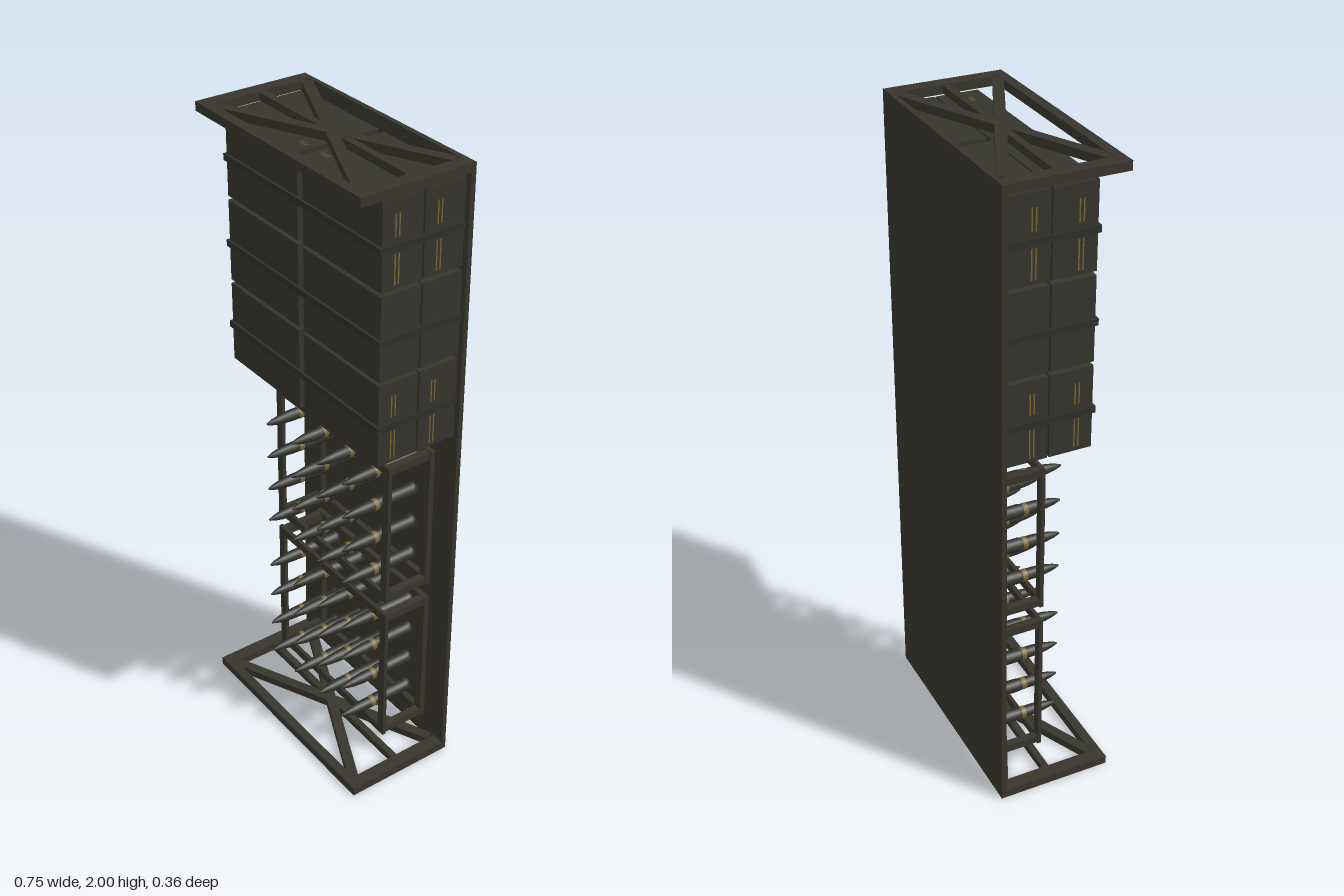
import * as THREE from 'three';

const steel = new THREE.MeshStandardMaterial({ color: 0x37352c });
steel.name = 'drab steel';
const crateMat = new THREE.MeshStandardMaterial({ color: 0x35342c });
crateMat.name = 'crate drab';
const dark = new THREE.MeshStandardMaterial({ color: 0x2f302b });
dark.name = 'dark shell metal';
const gold = new THREE.MeshStandardMaterial({ color: 0x766632 });
gold.name = 'dull gold';

// Box given by its minimum and maximum corners
function box(parent, name, mat, x0, x1, y0, y1, z0, z1) {
  const m = new THREE.Mesh(new THREE.BoxGeometry(x1 - x0, y1 - y0, z1 - z0), mat);
  m.position.set((x0 + x1) / 2, (y0 + y1) / 2, (z0 + z1) / 2);
  m.name = name;
  parent.add(m);
  return m;
}

// Flat braced frame lying in xz: border, centre rail and diagonal cross
function bracedFrame(name, y0, y1) {
  const g = new THREE.Group();
  g.name = name;
  for (const s of [-1, 1]) {
    const cx = s * 0.3515;
    box(g, 'frameSide', steel, cx - 0.0215, cx + 0.0215, y0, y1, -0.165, 0.18);
    const brace = box(g, 'diagonalBrace', steel, -0.357, 0.357, y0 + 0.001, y1 - 0.001, -0.016, 0.016);
    brace.position.z = -0.003;
    brace.rotation.y = s * Math.atan2(0.305, 0.66);
  }
  box(g, 'frameFront', steel, -0.33, 0.33, y0, y1, 0.15, 0.18);
  box(g, 'centreRail', steel, -0.33, 0.33, y0 + 0.002, y1 - 0.002, -0.019, 0.002);
  return g;
}

// Rectangular upright frame with an open middle
function openFrame(name, y0, z0, z1) {
  const outer = new THREE.Shape();
  outer.moveTo(-0.28, 0).lineTo(0.28, 0).lineTo(0.28, 0.48).lineTo(-0.28, 0.48).closePath();
  const hole = new THREE.Path();
  hole.moveTo(-0.253, 0.027).lineTo(-0.253, 0.453).lineTo(0.253, 0.453).lineTo(0.253, 0.027).closePath();
  outer.holes.push(hole);
  const m = new THREE.Mesh(new THREE.ExtrudeGeometry(outer, { depth: z1 - z0, bevelEnabled: false }), steel);
  m.position.set(0, y0, z0);
  m.name = name;
  return m;
}

// Turned profiles, axis along +z
const lathe = (pts) => new THREE.LatheGeometry(pts.map(([r, z]) => new THREE.Vector2(r, z)), 10).rotateX(Math.PI / 2);
const caseGeo = lathe([[0, -0.164], [0.023, -0.164], [0.023, -0.152], [0.02, -0.149], [0.02, -0.04], [0.018, -0.03]]);
const bandGeo = lathe([[0.018, -0.03], [0.019, -0.028], [0.019, -0.016], [0.018, -0.014]]);
const noseGeo = lathe([[0.018, -0.014], [0.0175, 0.015], [0.014, 0.05], [0.009, 0.075], [0.003, 0.093], [0, 0.095]]);

function shell(x, y) {
  const g = new THREE.Group();
  g.name = 'shell';
  for (const [name, geo, mat] of [['shellCase', caseGeo, dark], ['shellBand', bandGeo, gold], ['shellNose', noseGeo, dark]]) {
    const m = new THREE.Mesh(geo, mat);
    m.name = name;
    g.add(m);
  }
  g.position.set(x, y, 0);
  return g;
}

// Open rack holding a four by four block of shells
function rack(y0) {
  const g = new THREE.Group();
  g.name = 'shellRack';
  g.add(openFrame('rackFrontFrame', y0, -0.012, 0), openFrame('rackBackFrame', y0, -0.165, -0.147));
  for (const s of [-1, 1]) {
    for (const y of [y0, y0 + 0.45]) {
      box(g, 'rackCornerBar', steel, s * 0.265 - 0.012, s * 0.265 + 0.012, y + 0.003, y + 0.027, -0.147, -0.012);
    }
  }
  for (const x of [-0.193, -0.065, 0.063, 0.189]) {
    for (const dy of [0.063, 0.18, 0.298, 0.416]) g.add(shell(x, y0 + dy));
  }
  return g;
}

// One row of four crates held by a strap
function crateRow(y0, marked) {
  const g = new THREE.Group();
  g.name = 'crateRow';
  const y1 = y0 + 0.252;
  for (const s of [-1, 1]) {
    for (const [z0, z1] of [[-0.165, -0.036], [-0.031, 0.098]]) {
      box(g, 'crate', crateMat, Math.min(s * 0.012, s * 0.355), Math.max(s * 0.012, s * 0.355), y0, y1, z0, z1);
      // Broken gold stripes on the outer sides
      if (!marked) continue;
      const zc = (z0 + z1) / 2 + 0.017;
      for (const dz of [-0.006, 0.006]) {
        for (const [a, b] of [[0.012, 0.1], [0.145, 0.21]]) {
          box(g, 'crateStripe', gold, s * 0.355 - 0.001, s * 0.355 + 0.001, y0 + a, y0 + b, zc + dz - 0.002, zc + dz + 0.002);
        }
      }
    }
    // Side strap
    box(g, 'strapSide', dark, s * 0.3575 - 0.0025, s * 0.3575 + 0.0025, y0 + 0.108, y0 + 0.128, -0.165, 0.105);
  }
  box(g, 'strapFront', dark, -0.36, 0.36, y0 + 0.108, y0 + 0.128, 0.097, 0.106);
  return g;
}

export function createModel() {
  const model = new THREE.Group();
  model.name = 'ammunitionRack';
  box(model, 'backPanel', steel, -0.373, 0.373, 0, 2, -0.18, -0.165);
  model.add(bracedFrame('baseFrame', 0, 0.027), bracedFrame('topFrame', 1.973, 2));
  model.add(rack(0.08), rack(0.61));
  [1.18, 1.444, 1.708].forEach((y, i) => model.add(crateRow(y, i !== 1)));

  // Small gold marks on the top crates
  for (const s of [-1, 1]) {
    for (const x of [0.045, 0.293]) {
      for (const dz of [-0.004, 0.004]) {
        box(model, 'lidMark', gold, s * x - 0.017, s * x + 0.017, 1.959, 1.961, 0.05 + dz - 0.001, 0.05 + dz + 0.001);
      }
    }
  }
  return model;
}
